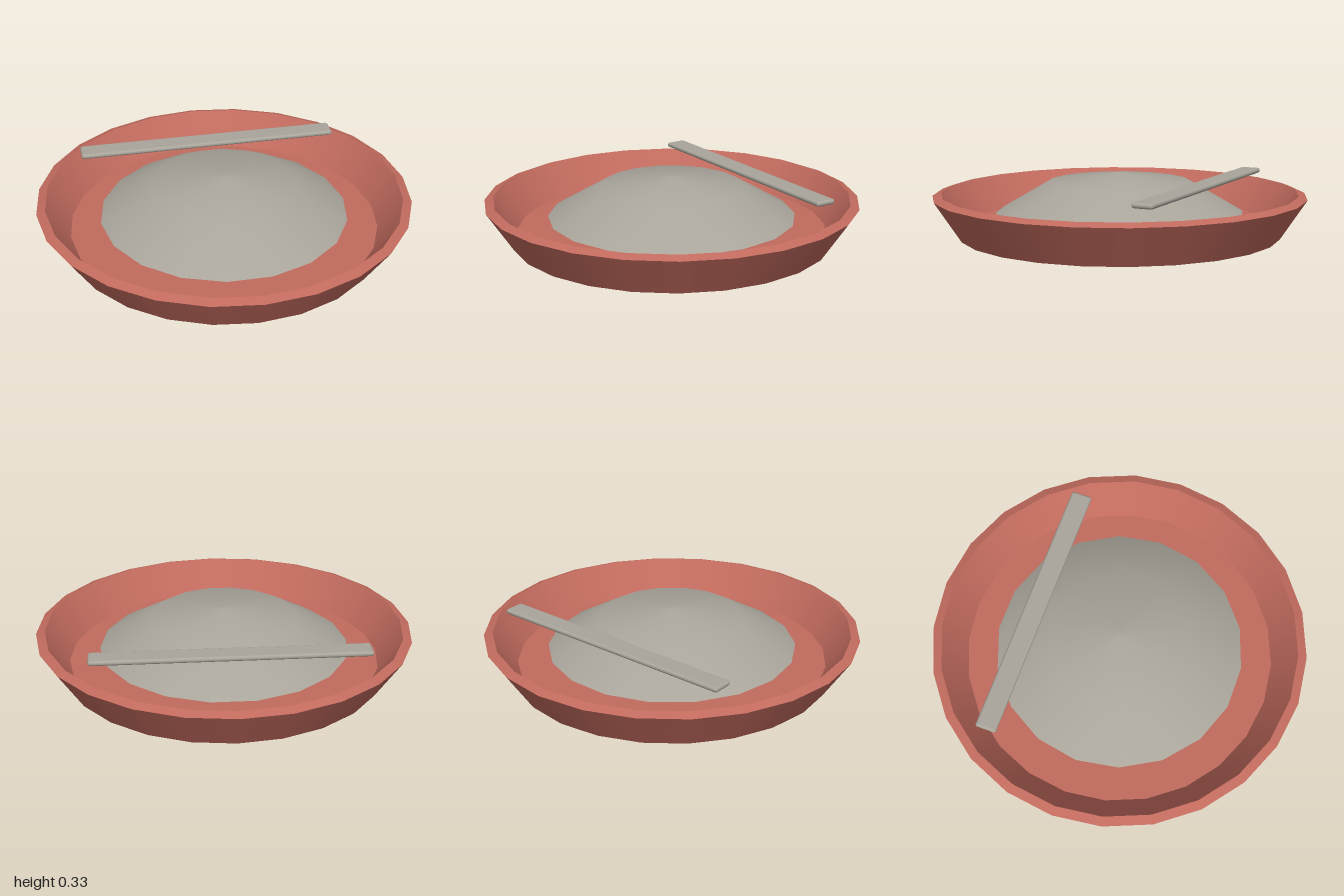
import * as THREE from 'three';
import { RoundedBoxGeometry } from 'three/addons/geometries/RoundedBoxGeometry.js';

const terracotta = new THREE.MeshStandardMaterial({ color: 0xc26b5e });
terracotta.name = 'terracotta';
const stone = new THREE.MeshStandardMaterial({ color: 0xa9a59b, side: THREE.DoubleSide });
stone.name = 'stone';

// Surface of revolution from [radius, height] points
function lathe(name, points, sides, material) {
  const profile = points.map(([r, y]) => new THREE.Vector2(r, y));
  const mesh = new THREE.Mesh(new THREE.LatheGeometry(profile, sides), material);
  mesh.name = name;
  return mesh;
}

export function createModel() {
  const model = new THREE.Group();
  model.name = 'dishWithMound';

  // Dish: one band per profile step keeps the rims sharp and the sides smooth
  const dish = new THREE.Group();
  dish.name = 'dish';
  const profile = [[0, 0], [0.86, 0], [1, 0.212], [0.953, 0.23], [0.828, 0.052], [0, 0.052]];
  const names = ['underside', 'outerWall', 'rim', 'innerWall', 'floor'];
  names.forEach((name, i) => {
    dish.add(lathe(name, [profile[i], profile[i + 1]], 24, terracotta));
  });
  model.add(dish);

  // Low open cap above the dish floor, corner turned to the x axis, tip slightly blunted
  const cap = [[0.665, 0.118], [0.38, 0.285], [0.02, 0.333], [0, 0.333]];
  const mound = lathe('mound', cap, 18, stone);
  mound.rotation.y = Math.PI / 2;
  model.add(mound);

  // Flat stick with rounded edges lying across the back of the mound
  const stick = new THREE.Mesh(new RoundedBoxGeometry(1.428, 0.028, 0.114, 2, 0.0135), stone);
  stick.name = 'stick';
  stick.position.set(0, 0.289, -0.477);
  stick.rotation.y = 0.004;
  model.add(stick);

  return model;
}
